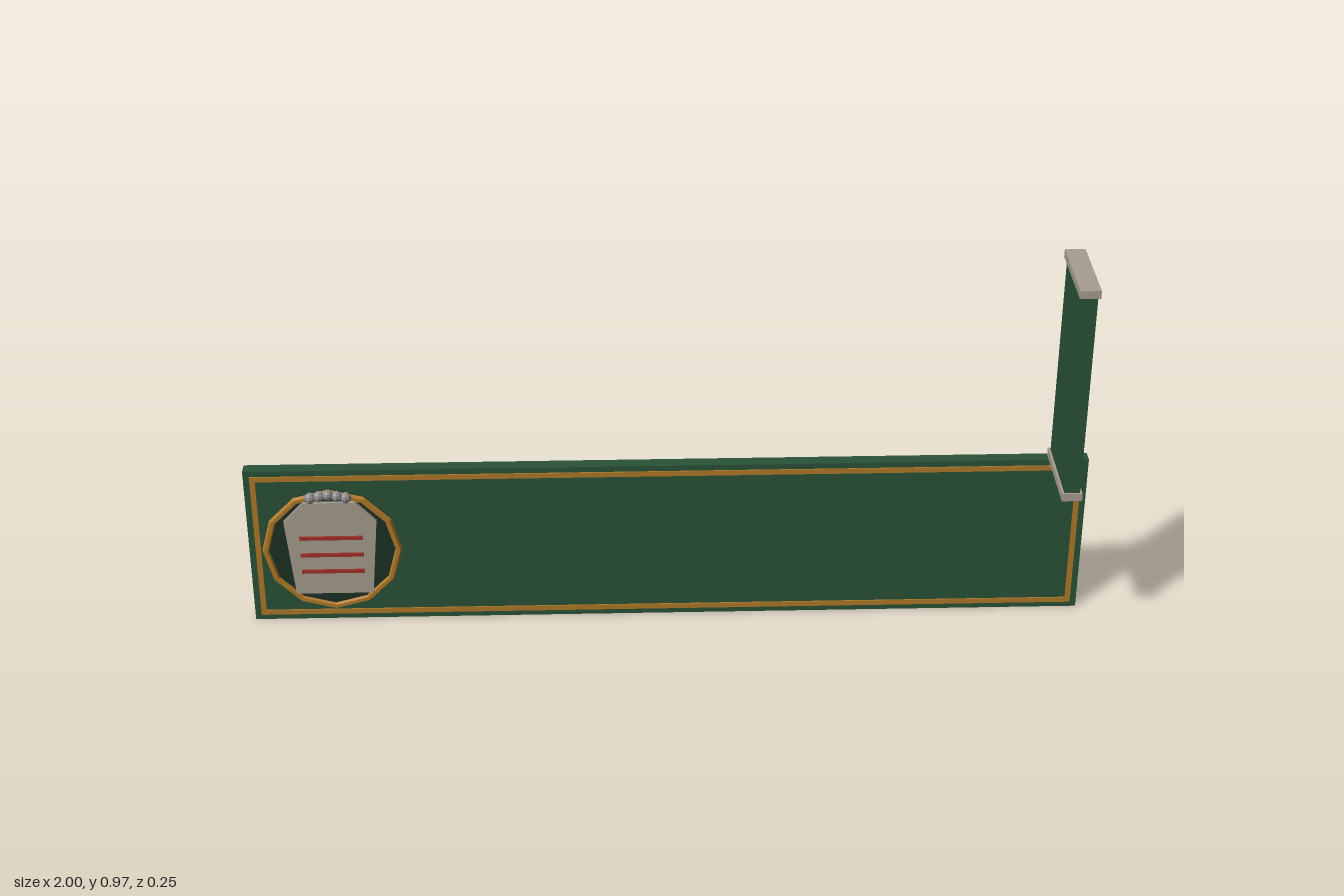
import * as THREE from 'three';

const material = (color) => new THREE.MeshStandardMaterial({ color, flatShading: true });

export function createModel() {
  const model = new THREE.Group();
  const green = material(0x2a5238), darkGreen = material(0x1c3024), gold = material(0xb07a28);
  const stone = material(0xa59d8f), red = material(0xa03028), iron = material(0x2a2c2e), silver = material(0x8c8c8c);

  const add = (parent, name, geometry, mat, x = 0, y = 0, z = 0) => {
    const mesh = new THREE.Mesh(geometry, mat);
    mesh.name = name;
    mesh.position.set(x, y, z);
    parent.add(mesh);
    return mesh;
  };
  const box = (parent, name, mat, w, h, d, x, y, z) =>
    add(parent, name, new THREE.BoxGeometry(w, h, d), mat, x, y, z);

  // Long fascia board
  const fascia = new THREE.Group();
  fascia.name = 'fasciaSign';
  model.add(fascia);
  box(fascia, 'fasciaBoard', green, 2, 0.415, 0.032, 0, 0.2075, -0.108);

  // Gold border strips on both faces
  for (const z of [-0.091, -0.1245]) {
    for (const s of [-1, 1]) {
      box(fascia, 'borderRail', gold, 1.97, 0.013, 0.004, 0, 0.2075 + s * 0.187, z);
      box(fascia, 'borderStile', gold, 0.013, 0.387, 0.004, s * 0.9785, 0.2075, z);
    }
  }

  // Round medallion at the board's right-hand end
  const medallion = new THREE.Group();
  medallion.name = 'medallion';
  medallion.position.set(-0.8, 0.2075, 0);
  model.add(medallion);
  const disc = add(medallion, 'medallionDisc', new THREE.CylinderGeometry(0.16, 0.16, 0.02, 12), darkGreen, 0, 0, -0.083);
  disc.rotation.x = Math.PI / 2;
  add(medallion, 'medallionRing', new THREE.TorusGeometry(0.158, 0.009, 6, 12), gold, 0, 0, -0.075);

  // Stone tablet with chamfered shoulders
  const tablet = new THREE.Shape([
    [-0.092, -0.118], [0.092, -0.118], [0.11, 0.083], [0.062, 0.135], [-0.062, 0.135], [-0.11, 0.083],
  ].map(([x, y]) => new THREE.Vector2(x, y)));
  add(medallion, 'tablet', new THREE.ExtrudeGeometry(tablet, { depth: 0.012, bevelEnabled: false }), stone, 0, 0, -0.077);
  for (const y of [0.039, -0.008, -0.054]) {
    box(medallion, 'tabletStripe', red, 0.15, 0.009, 0.005, 0, y, -0.063);
  }

  // Row of beads arched over the tablet
  for (let i = -2; i <= 2; i++) {
    const y = 0.16 - Math.abs(i) * 0.004;
    add(medallion, 'bead', new THREE.SphereGeometry(0.0135, 8, 6), silver, i * 0.021, y, -0.061);
  }

  // Projecting blade sign with end caps and fixing rods
  const blade = new THREE.Group();
  blade.name = 'bladeSign';
  blade.position.x = 0.922;
  model.add(blade);
  box(blade, 'bladePanel', green, 0.036, 0.5, 0.2, 0, 0.701, 0.02);
  for (const y of [0.442, 0.96]) box(blade, 'bladeCap', stone, 0.047, 0.019, 0.213, 0, y, 0.0185);
  for (const y of [0.47, 0.932]) {
    const rod = add(blade, 'fixingRod', new THREE.CylinderGeometry(0.005, 0.005, 0.05, 8), iron, 0, y, -0.1);
    rod.rotation.x = Math.PI / 2;
  }
  return model;
}
